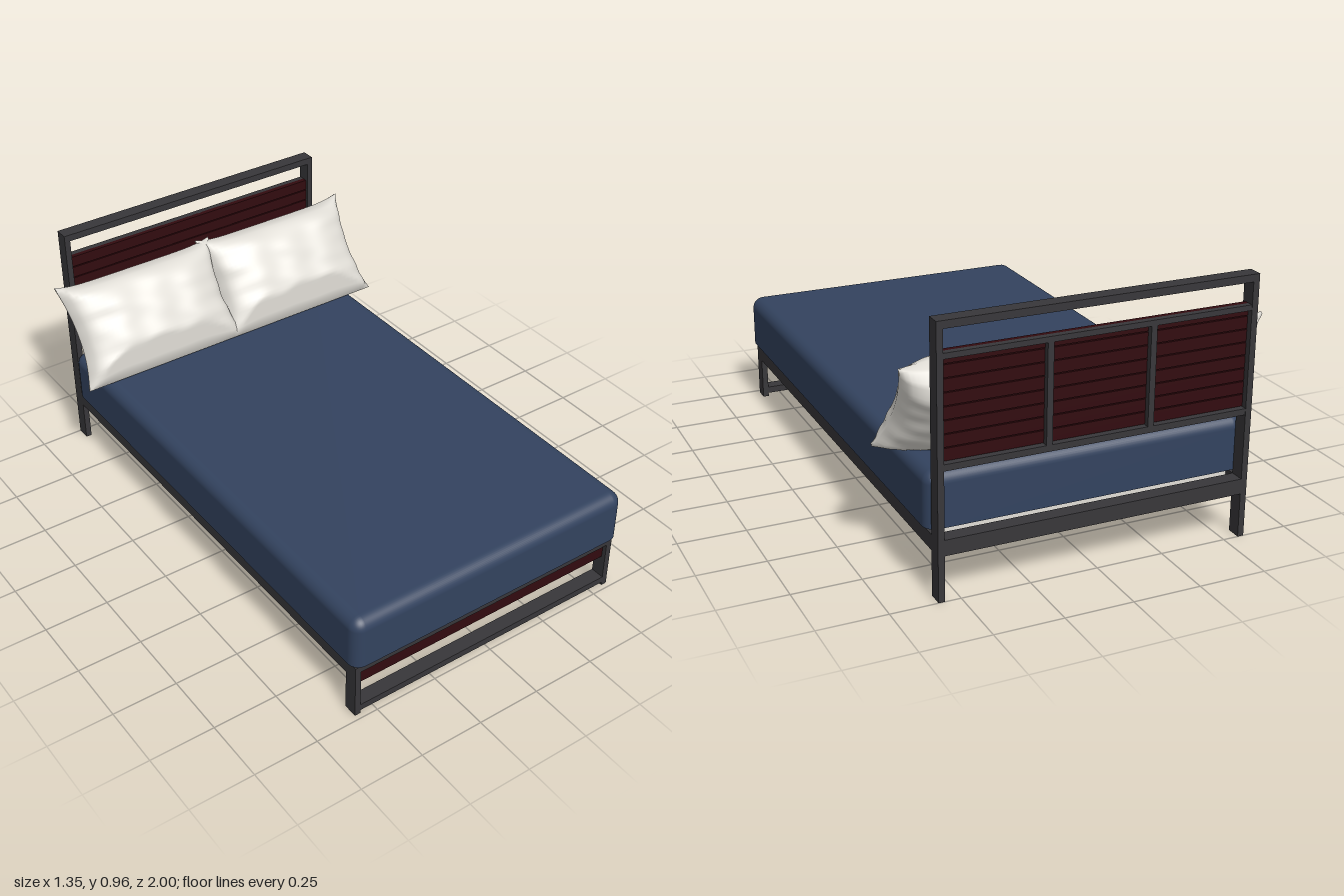
import * as THREE from 'three';
import { mergeVertices } from 'three/addons/utils/BufferGeometryUtils.js';
import { RoundedBoxGeometry } from 'three/addons/geometries/RoundedBoxGeometry.js';

const mat = (name, color) => Object.assign(new THREE.MeshStandardMaterial({ color }), { name });

// Puffed cushion: a squashed box grid, pinched at the edges and pulled out at the corners
function pillowGeometry(seed) {
  let geo = new THREE.BoxGeometry(2, 2, 2, 40, 28, 2);
  geo.deleteAttribute('uv');
  geo.deleteAttribute('normal');
  geo = mergeVertices(geo);
  const p = geo.attributes.position;
  const bottom = [0.437, -0.66], top = [0.765, -0.9]; // y, z of the two long seams
  for (let i = 0; i < p.count; i++) {
    const u = p.getX(i), v = p.getY(i), s = p.getZ(i);
    const swell = Math.pow(Math.max(0, 1 - u ** 4), 0.6) * Math.pow(Math.max(0, 1 - v ** 4), 0.6);
    const folds = 0.006 * Math.sin(9 * u + 4 * v + seed) * Math.sin(5 * v - 3 * u + seed)
      + 0.005 * Math.abs(u) ** 3 * Math.sin(17 * v + seed);
    const t = s * (0.006 + swell * (0.105 + folds));
    const k = (v + 1) / 2;
    const x = u * (0.318 + 0.03 * v * v + (v < 0 ? 0.008 * v * v : 0)) + 0.004 * swell * Math.sin(12 * v);
    const lift = 0.02 * u ** 6 * Math.max(0, v);
    const y = bottom[0] + (top[0] - bottom[0]) * k + t * 0.59 + lift;
    const z = bottom[1] + (top[1] - bottom[1]) * k + t * 0.81;
    // rests on the mattress and against the headboard
    p.setXYZ(i, x, Math.max(y, 0.434), THREE.MathUtils.clamp(z, -0.943, -0.64));
  }
  geo.computeVertexNormals();
  return geo;
}

export function createModel() {
  const bed = new THREE.Group();
  bed.name = 'bed';
  const metal = mat('charcoal metal', 0x38373a);
  const wood = mat('dark red wood', 0x320b0f);
  const blue = mat('navy sheet', 0x33435f);
  const white = mat('off-white fabric', 0xe2dfd8);

  const add = (name, geo, material, parent = bed) => {
    const m = new THREE.Mesh(geo, material);
    m.name = name;
    parent.add(m);
    return m;
  };
  // Box given by its min and max corners
  const bar = (name, x0, x1, y0, y1, z0, z1, material, parent) => {
    const m = add(name, new THREE.BoxGeometry(x1 - x0, y1 - y0, z1 - z0), material, parent);
    m.position.set((x0 + x1) / 2, (y0 + y1) / 2, (z0 + z1) / 2);
    return m;
  };
  const group = (name) => {
    const g = new THREE.Group();
    g.name = name;
    bed.add(g);
    return g;
  };

  const head = group('headboard'), foot = group('footboard'), frame = group('sideFrame');
  const W = 0.58, I = 0.557;

  // Posts, legs and side rails, mirrored
  for (const s of [-1, 1]) {
    const x0 = s < 0 ? -W : I, x1 = s < 0 ? -I : W;
    bar('headPost', x0, x1, 0, 0.965, -1, -0.945, metal, head);
    bar('footLeg', x0, x1, 0, 0.222, 0.925, 0.98, metal, foot);
    bar('sideRail', x0, x1, 0.165, 0.222, -0.945, 0.925, metal, frame);
  }

  // Headboard rails and planked panel
  bar('headTopRail', -I, I, 0.938, 0.965, -1, -0.945, metal, head);
  bar('headCrossRail', -I, I, 0.165, 0.222, -1, -0.945, metal, head);
  bar('panelTopRail', -I, I, 0.838, 0.858, -0.998, -0.975, metal, head);
  bar('panelBottomRail', -I, I, 0.462, 0.485, -0.998, -0.95, metal, head);
  for (const x of [-0.187, 0.187])
    bar('panelDivider', x - 0.011, x + 0.011, 0.485, 0.838, -0.998, -0.975, metal, head);
  bar('panelCore', -I, I, 0.485, 0.858, -0.973, -0.963, wood, head);
  const planks = 8, step = (0.86 - 0.485) / planks;
  for (let i = 0; i < planks; i++) {
    const y = 0.485 + i * step;
    bar('plank', -I, I, y + 0.002, y + step - 0.002, -0.977, -0.957, wood, head);
  }

  // Footboard rails and panel
  bar('footTopRail', -I, I, 0.196, 0.222, 0.925, 0.98, metal, foot);
  bar('footBottomRail', -I, I, 0.014, 0.04, 0.925, 0.98, metal, foot);
  bar('footPanel', -I, I, 0.13, 0.196, 0.943, 0.963, wood, foot);

  // White mattress base showing below and just above the rails
  add('mattressBase', new RoundedBoxGeometry(1.112, 0.106, 1.83, 3, 0.018), white).position.y = 0.183;

  // Fitted sheet: rounded above, cut flat underneath
  const r = 0.045, h = 0.2 + r;
  const sheet = new RoundedBoxGeometry(1.19, h, 1.943, 5, r);
  const sp = sheet.attributes.position;
  for (let i = 0; i < sp.count; i++) sp.setY(i, Math.max(sp.getY(i), -h / 2 + r));
  add('fittedSheet', sheet, blue).position.set(0, 0.435 - h / 2, 0.0265);

  // Two pillows leaning on the headboard
  for (const s of [-1, 1]) add('pillow', pillowGeometry(s + 2), white).position.x = s * 0.318;

  return bed;
}
